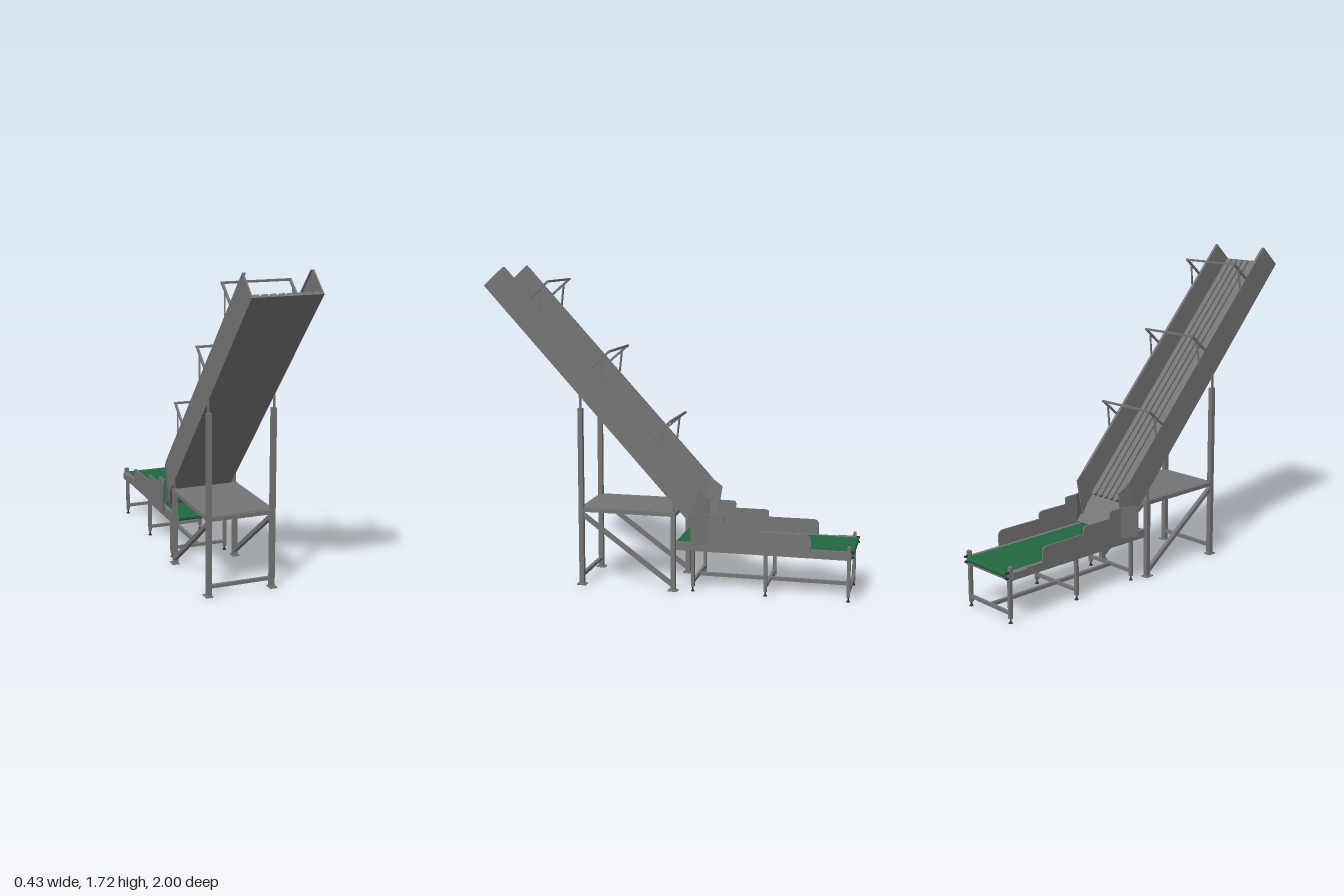
import * as THREE from 'three';

const mat = (name, color) => {
  const m = new THREE.MeshStandardMaterial({ color });
  m.name = name;
  return m;
};

export function createModel() {
  const steel = mat('steel grey', 0x757577);
  const green = mat('belt green', 0x22683f);
  const dark = mat('dark metal', 0x333335);
  const model = new THREE.Group();
  model.name = 'inclinedConveyor';

  const add = (name, geo, m = steel, parent = model) => {
    const mesh = new THREE.Mesh(geo, m);
    mesh.name = name;
    parent.add(mesh);
    return mesh;
  };
  const box = (name, w, h, d, x, y, z, m, parent) => {
    const mesh = add(name, new THREE.BoxGeometry(w, h, d), m, parent);
    mesh.position.set(x, y, z);
    return mesh;
  };
  // square bar between two points
  const bar = (name, a, b, w, h = w, m = steel) => {
    const p = new THREE.Vector3(...a), q = new THREE.Vector3(...b);
    const mesh = add(name, new THREE.BoxGeometry(w, h, p.distanceTo(q)), m);
    mesh.position.copy(p).add(q).multiplyScalar(0.5);
    mesh.lookAt(q);
    return mesh;
  };
  // upright plate from a (z, y) outline, centred on x; bend(z, y) shifts it sideways
  const plate = (name, shape, x, t, bend) => {
    const geo = new THREE.ExtrudeGeometry(shape, { depth: t, bevelEnabled: false, curveSegments: 6 });
    geo.rotateY(-Math.PI / 2).translate(x + t / 2, 0, 0);
    if (bend) {
      const p = geo.attributes.position;
      for (let i = 0; i < p.count; i++) p.setX(i, p.getX(i) + bend(p.getZ(i), p.getY(i)));
      geo.computeVertexNormals();
    }
    return add(name, geo);
  };
  const outline = (pts) => new THREE.Shape(pts.map(([a, b]) => new THREE.Vector2(a, b)));

  // --- inclined chute: floor and rounded slats in a tilted group ---
  const chute = new THREE.Group();
  chute.name = 'chuteFloor';
  chute.position.set(0, 0.39, -0.12);
  chute.rotation.x = -Math.atan2(1.225, 1.12);
  model.add(chute);
  const length = 1.66;
  box('floorPlate', 0.35, 0.008, length, 0, 0.004, length / 2, steel, chute);
  const r = 0.016;
  const slat = new THREE.Shape();
  slat.moveTo(-r, -length + 0.01);
  slat.lineTo(r, -length + 0.01);
  slat.lineTo(r, -r - 0.01);
  slat.absarc(0, -r - 0.01, r, 0, Math.PI, false);
  const slatGeo = new THREE.ExtrudeGeometry(slat, { depth: 0.018, bevelEnabled: false, curveSegments: 8 });
  slatGeo.rotateX(-Math.PI / 2);
  for (let i = 0; i < 8; i++) {
    add('floorSlat', slatGeo, steel, chute).position.set((i - 3.5) * 0.0425, 0.008, 0);
  }

  // sloping lip that drops onto the belt
  bar('transitionPlate', [0, 0.405, -0.125], [0, 0.28, -0.24], 0.325, 0.006);

  for (const s of [-1, 1]) {
    // --- chute sides with folded top lips and tapered end cheeks ---
    plate('chuteSide', outline([[-0.12, 0.39], [1, 1.615], [0.89, 1.715], [-0.18, 0.55]]), s * 0.176, 0.007);
    bar('sideLip', [s * 0.171, 0.55, -0.18], [s * 0.171, 1.713, 0.888], 0.016, 0.005);
    plate('chuteCheek', outline([[-0.12, 0.39], [-0.18, 0.55], [-0.24, 0.51], [-0.205, 0.28], [-0.15, 0.32]]),
      s * 0.176, 0.007, (z, y) => -s * 0.2 * Math.max(0, -0.12 - z - (y - 0.39) * 0.375));

    // --- tall stand ---
    for (const [z, top, neck] of [[0.468, 0.97, 1.04], [-0.042, 0.43, 0.48]]) {
      box('standLeg', 0.026, top, 0.026, s * 0.177, top / 2, z);
      box('legNeck', 0.008, neck - top + 0.02, 0.012, s * 0.179, (top + neck) / 2, z);
      box('footPlate', 0.04, 0.006, 0.05, s * 0.18, 0.003, z);
    }
    bar('standRail', [s * 0.177, 0.418, -0.042], [s * 0.177, 0.418, 0.468], 0.022);
    bar('diagonalBrace', [s * 0.177, 0.395, 0.465], [s * 0.177, 0.03, -0.04], 0.022);

    // --- hoop arms and struts over the chute ---
    for (const [z, y] of [[0.745, 1.55], [0.41, 1.187], [0.08, 0.825]]) {
      bar('hoopArm', [s * 0.176, y, z], [s * 0.176, y + 0.09, z - 0.105], 0.011);
      bar('hoopStrut', [s * 0.182, y - 0.065, z - 0.056], [s * 0.176, y + 0.06, z - 0.072], 0.008);
    }

    // --- belt frame ---
    bar('beltRail', [s * 0.161, 0.246, -0.05], [s * 0.161, 0.246, -0.985], 0.022, 0.044);
    box('endBracket', 0.024, 0.07, 0.016, s * 0.164, 0.26, -0.972);
    for (const y of [0.24, 0.267]) bar('tensionBolt', [s * 0.164, y, -0.97], [s * 0.164, y, -1], 0.01, 0.01, dark);
    for (const z of [-0.145, -0.537, -0.972]) {
      box('beltLeg', 0.018, 0.21, 0.018, s * 0.158, 0.13, z);
      const pin = add('footPin', new THREE.CylinderGeometry(0.004, 0.004, 0.024, 10), dark);
      pin.position.set(s * 0.158, 0.014, z);
      const pad = add('footPad', new THREE.CylinderGeometry(0.008, 0.011, 0.006, 12), dark);
      pad.position.set(s * 0.158, 0.003, z);
    }

    // --- stepped side guards, splayed outward below the chute ---
    const guard = new THREE.Shape();
    guard.moveTo(-0.235, 0.262);
    guard.lineTo(-0.775, 0.262);
    guard.lineTo(-0.775, 0.32);
    guard.quadraticCurveTo(-0.775, 0.35, -0.745, 0.35);
    guard.lineTo(-0.5, 0.35);
    guard.lineTo(-0.5, 0.37);
    guard.quadraticCurveTo(-0.5, 0.39, -0.48, 0.39);
    guard.lineTo(-0.315, 0.39);
    guard.lineTo(-0.315, 0.415);
    guard.quadraticCurveTo(-0.315, 0.43, -0.3, 0.43);
    guard.lineTo(-0.235, 0.43);
    plate('sideGuard', guard, s * 0.174, 0.008);
    plate('guardFlare', outline([[-0.235, 0.262], [-0.145, 0.262], [-0.145, 0.43], [-0.235, 0.43]]),
      s * 0.174, 0.008, (z) => s * 0.42 * (z + 0.235));
  }

  // hoop crossbars
  for (const [z, y] of [[0.64, 1.64], [0.305, 1.277], [-0.025, 0.915]]) {
    box('hoopCrossbar', 0.363, 0.011, 0.011, 0, y, z);
  }

  // stand platform and cross members
  box('platform', 0.34, 0.012, 0.51, 0, 0.424, 0.213);
  for (const z of [0.468, -0.042]) box('platformBeam', 0.33, 0.022, 0.02, 0, 0.416, z);
  box('lowerCrossbar', 0.33, 0.018, 0.018, 0, 0.053, 0.468);

  // belt, end rollers and frame cross members
  box('belt', 0.3, 0.03, 0.93, 0, 0.253, -0.522, green);
  for (const z of [-0.06, -0.982]) {
    const roller = add('beltRoller', new THREE.CylinderGeometry(0.015, 0.015, 0.3, 20), green);
    roller.rotation.z = Math.PI / 2;
    roller.position.set(0, 0.253, z);
  }
  for (const z of [-0.145, -0.537, -0.972]) {
    box('upperCrossbar', 0.31, 0.018, 0.018, 0, 0.233, z);
    box('legCrossbar', 0.31, 0.016, 0.016, 0, 0.053, z);
  }
  bar('centreRail', [0, 0.053, -0.145], [0, 0.053, -0.972], 0.018);
  box('driveBox', 0.016, 0.036, 0.09, -0.178, 0.25, -0.925);

  return model;
}
